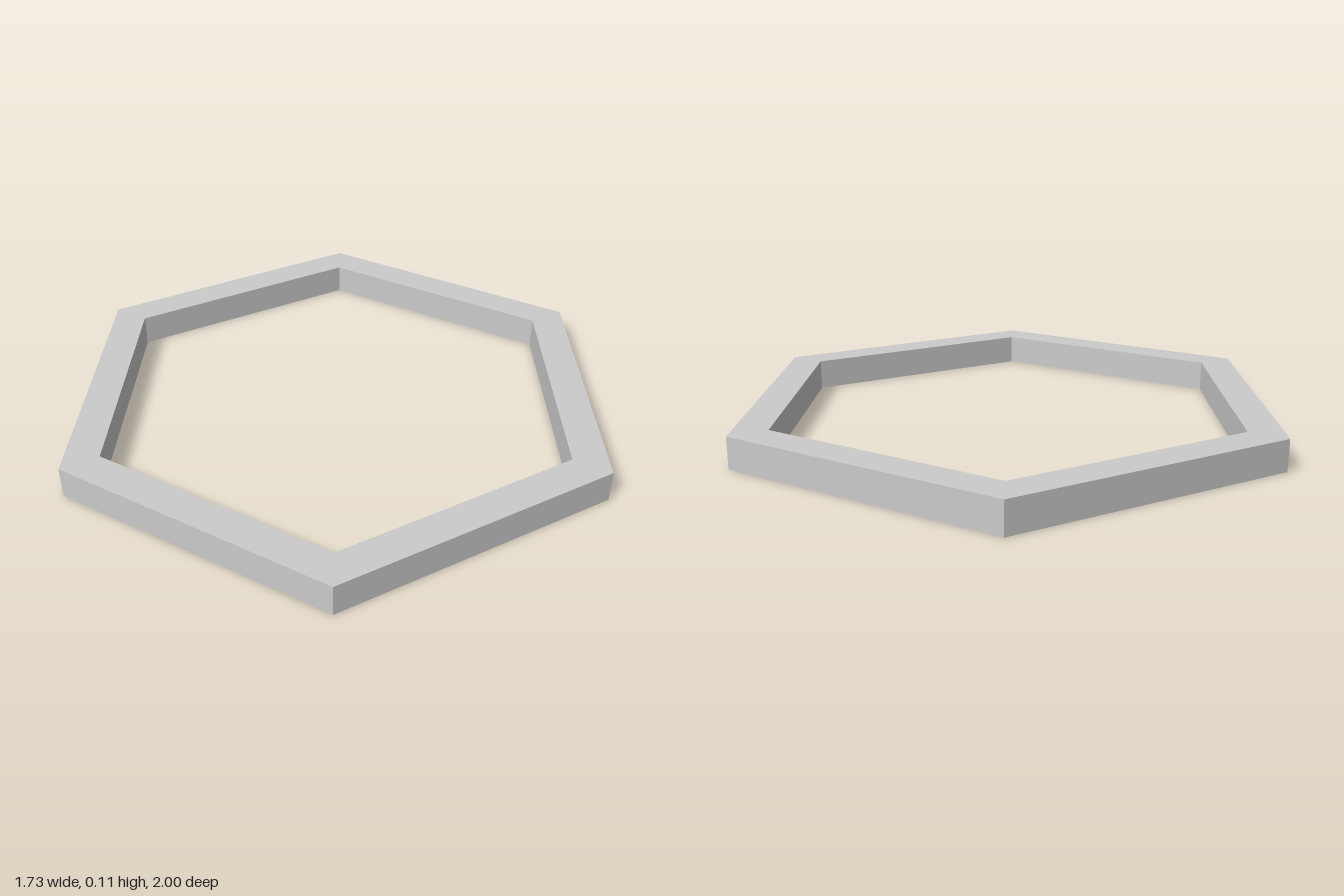
import * as THREE from 'three';

const SIDES = 6;
const OUTER_RADIUS = 1;
const INNER_RADIUS = 0.866;
const HEIGHT = 0.108;

// Corners of a regular polygon with one corner pointing to the front
function polygon(radius) {
  return Array.from({ length: SIDES }, (_, i) => {
    const a = Math.PI / 2 + (i / SIDES) * Math.PI * 2;
    return new THREE.Vector2(Math.cos(a) * radius, Math.sin(a) * radius);
  });
}

export function createModel() {
  const group = new THREE.Group();
  group.name = 'hexagonalFrame';

  // Flat hexagonal ring: outline with a matching hole, extruded upwards
  const shape = new THREE.Shape(polygon(OUTER_RADIUS));
  shape.holes.push(new THREE.Path(polygon(INNER_RADIUS)));
  const geometry = new THREE.ExtrudeGeometry(shape, { depth: HEIGHT, bevelEnabled: false });
  geometry.rotateX(-Math.PI / 2);

  const ring = new THREE.Mesh(
    geometry,
    new THREE.MeshStandardMaterial({ color: 0xcccccc, flatShading: true })
  );
  ring.name = 'hexagonalRing';
  group.add(ring);
  return group;
}
